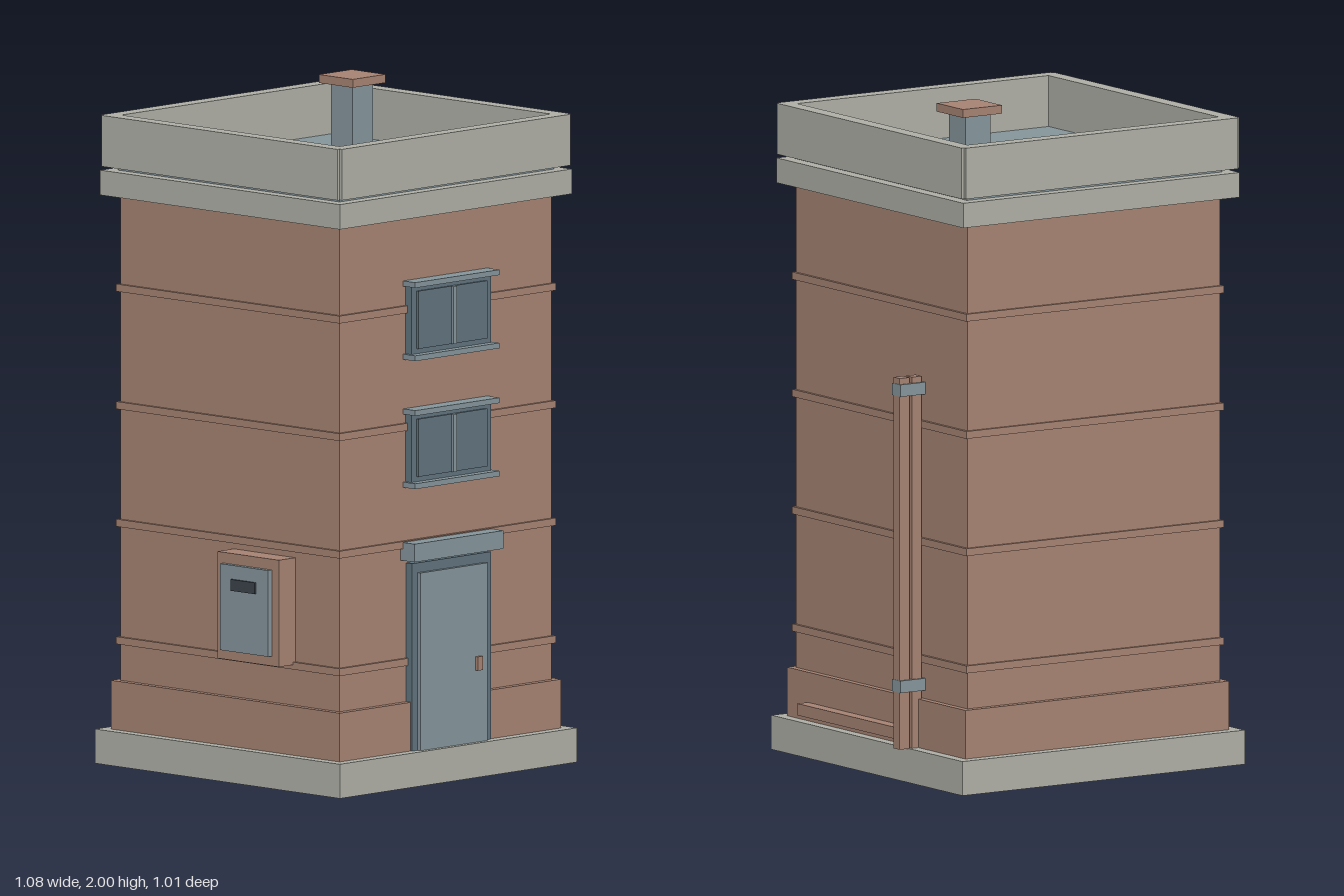
import * as THREE from 'three';

const paint = (name, color) => {
  const m = new THREE.MeshStandardMaterial({ color });
  m.name = name;
  return m;
};

export function createModel() {
  const brick = paint('brick', 0xa58272);
  const stone = paint('stone', 0xaeaea6);
  const slate = paint('slate', 0x84949a);
  const darkSlate = paint('dark slate', 0x5f727c);
  const charcoal = paint('charcoal', 0x3a424a);

  const model = new THREE.Group();
  model.name = 'towerHouse';

  // Box given by its extents along each axis
  function box(name, material, [x0, x1], [y0, y1], [z0, z1], parent = model) {
    const mesh = new THREE.Mesh(new THREE.BoxGeometry(x1 - x0, y1 - y0, z1 - z0), material);
    mesh.position.set((x0 + x1) / 2, (y0 + y1) / 2, (z0 + z1) / 2);
    mesh.name = name;
    parent.add(mesh);
    return mesh;
  }
  const group = (name) => {
    const g = new THREE.Group();
    g.name = name;
    model.add(g);
    return g;
  };
  const slab = (name, material, half, y0, y1) =>
    box(name, material, [-half, half], [y0, y1], [-half, half]);

  // Main stack: base, plinth, walls, cornice, roof
  slab('base', stone, 0.502, 0, 0.102);
  slab('plinth', brick, 0.469, 0.102, 0.247);
  slab('walls', brick, 0.449, 0.247, 1.692);
  slab('cornice', stone, 0.491, 1.692, 1.766);
  slab('roof', slate, 0.454, 1.766, 1.778);
  for (let i = 0; i < 4; i++) {
    const y = 0.366 + i * 0.35;
    slab('wallBand', brick, 0.458, y - 0.011, y + 0.011);
  }

  // Parapet of four walls with notched outer corners
  const parapet = group('parapet');
  const side = [-0.484, 0.484], rise = [1.778, 1.93];
  for (const wall of [[0.447, 0.493], [-0.493, -0.447]]) {
    box('parapetWall', stone, side, rise, wall, parapet);
    box('parapetWall', stone, wall, rise, side, parapet);
  }

  // Roof vent
  box('ventStack', slate, [0.224, 0.312], [1.778, 1.975], [-0.238, -0.15]);
  box('ventCap', brick, [0.199, 0.338], [1.975, 2], [-0.263, -0.124]);

  // Two front windows
  for (const y of [1.003, 1.384]) {
    const w = group('window');
    box('windowFrame', darkSlate, [-0.17, 0.168], [y - 0.102, y + 0.102], [0.445, 0.473], w);
    box('glass', darkSlate, [-0.147, 0.145], [y - 0.086, y + 0.086], [0.473, 0.48], w);
    box('mullion', slate, [-0.007, 0.007], [y - 0.086, y + 0.086], [0.48, 0.489], w);
    for (const s of [-1, 1]) {
      const edge = y + s * 0.109;
      box(s > 0 ? 'lintel' : 'sill', slate, [-0.18, 0.177], [edge - 0.008, edge + 0.008], [0.449, 0.499], w);
    }
  }

  // Front door
  const door = group('door');
  box('doorFrame', darkSlate, [-0.168, 0.166], [0.102, 0.66], [0.445, 0.474], door);
  box('doorPanel', slate, [-0.144, 0.14], [0.102, 0.631], [0.474, 0.486], door);
  box('doorHandle', brick, [0.089, 0.111], [0.316, 0.357], [0.486, 0.495], door);
  box('doorCanopy', slate, [-0.19, 0.187], [0.67, 0.724], [0.445, 0.506], door);

  // Twin pipes with clamps on the left wall, and the low conduit
  const pipes = group('pipes');
  for (const x of [0.475, 0.519]) {
    box('pipe', brick, [x - 0.017, x + 0.017], [0.102, 1.21], [-0.223, -0.19], pipes);
  }
  for (const y of [0.29, 1.174]) {
    box('pipeClamp', slate, [0.449, 0.538], [y - 0.018, y + 0.018], [-0.229, -0.186], pipes);
  }
  box('conduit', brick, [0.465, 0.507], [0.122, 0.157], [-0.168, 0.358], pipes);

  // Utility box on the right wall
  const utility = group('utilityBox');
  box('utilityCase', brick, [-0.519, -0.445], [0.369, 0.687], [0.016, 0.268], utility);
  box('utilityDoor', slate, [-0.535, -0.519], [0.398, 0.655], [0.042, 0.24], utility);
  box('utilitySlot', charcoal, [-0.541, -0.535], [0.58, 0.614], [0.092, 0.19], utility);

  return model;
}
